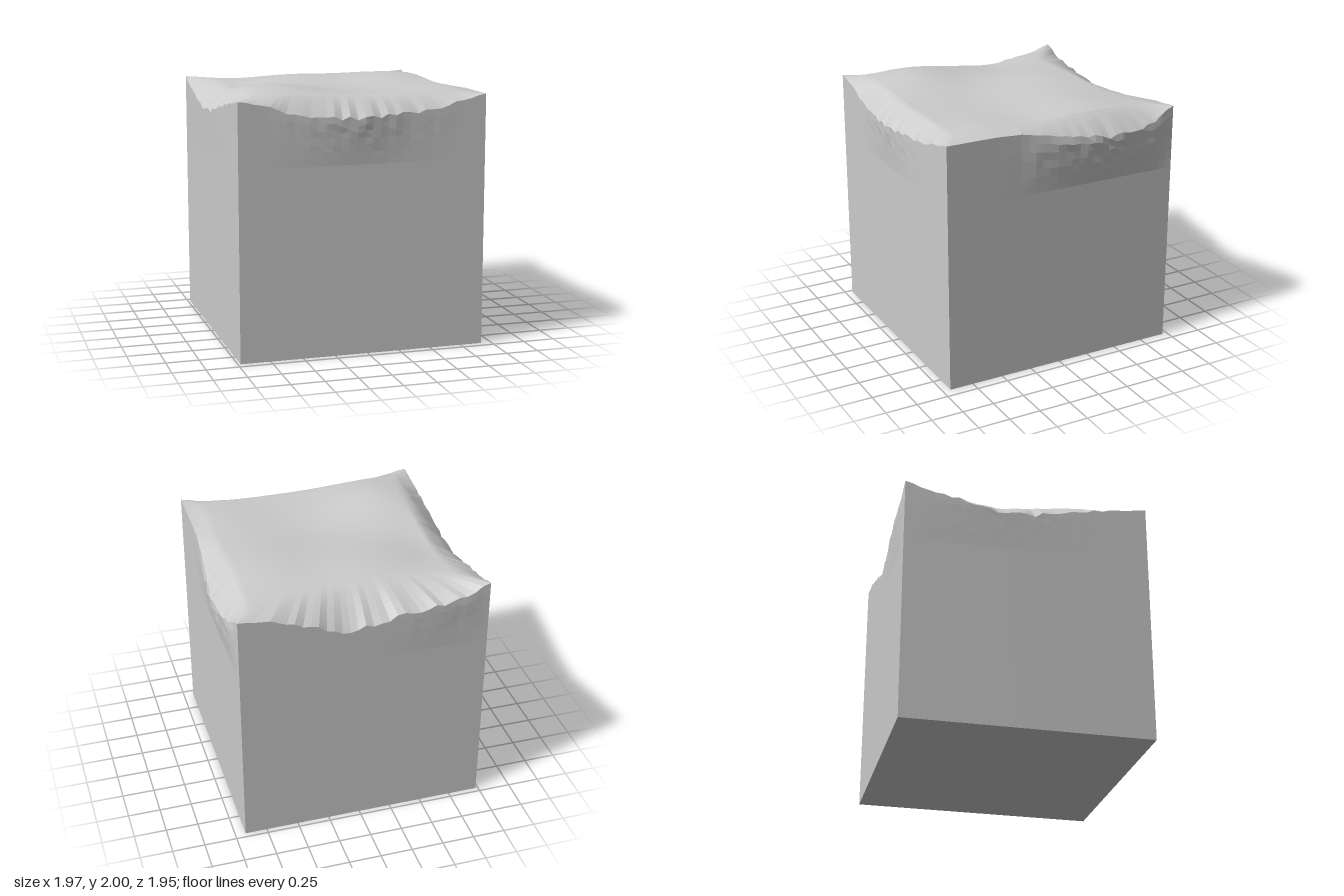
import * as THREE from 'three';

const CX = -0.03, CZ = -0.01, HALF = 0.95, TOP = 1.93, FOOT = 1.44;
const SEG = 32, TOP_RINGS = 30, WALL_RINGS = 7;

// Each side, counter-clockwise from the front: lip drop and overhang at even steps, and lip width
const sides = [
  { n: [0, 1], drop: [0, 0.03, 0.09, 0.12, 0.14, 0.15, 0.13, 0.12, 0.1, 0.05, 0], bulge: [0, 0, 0.006, 0.016, 0.028, 0.034, 0.022, 0.008, 0.003, 0, 0], width: 0.14 },
  { n: [1, 0], drop: [0, 0, 0, 0.01, 0.04, 0.08, 0.11, 0.13, 0.13, 0.09, 0], bulge: [0, 0, 0, 0.003, 0.02, 0.036, 0.054, 0.066, 0.054, 0.035, 0], width: 0.13 },
  { n: [0, -1], drop: [0, 0.02, 0.07, 0.15, 0.22, 0.2, 0.17, 0.14, 0.12, 0.08, 0], bulge: [0, 0, 0, 0, 0, 0, 0.004, 0.01, 0.015, 0.01, 0], width: 0.3 },
  { n: [-1, 0], drop: [0, 0.06, 0.1, 0.15, 0.18, 0.18, 0.14, 0.1, 0.06, 0.03, 0], bulge: [0, 0.004, 0.008, 0.01, 0.01, 0.008, 0.006, 0.004, 0, 0, 0], width: 0.22 },
];

function sample(list, t) {
  const f = t * (list.length - 1), i = Math.min(Math.floor(f), list.length - 2), k = f - i;
  return THREE.MathUtils.lerp(list[i], list[i + 1], k * k * (3 - 2 * k));
}

function hash(a, b) {
  const v = Math.sin(a * 127.1 + b * 311.7) * 43758.5453;
  return (v - Math.floor(v)) * 2 - 1;
}

// Gentle hills and hollows of the top, fading to the level rim
function hills(x, z, s) {
  const hump = (px, pz, r, h) => h * Math.exp(-((x - px) ** 2 + (z - pz) ** 2) / (r * r));
  const fade = Math.min(1, (1 - s) / 0.14);
  return fade * (hump(-0.6, 0.48, 0.36, 0.066) + hump(0.55, -0.3, 0.42, 0.05)
    + hump(0.7, 0.55, 0.3, 0.025) + hump(-0.15, -0.45, 0.35, 0.03)
    - hump(-0.75, -0.3, 0.25, 0.03) - hump(0.1, 0.25, 0.3, 0.012));
}

// Overhang is strongest at y = 1.79 and dies out below and above
function overhang(y) {
  return y < 1.79 ? Math.max(0, (y - FOOT) / (1.79 - FOOT)) : 1 - 0.7 * (y - 1.79) / (TOP - 1.79);
}

function createBlockGeometry() {
  const pos = [], index = [], around = SEG * 4;
  const rings = TOP_RINGS + WALL_RINGS + 3;
  for (let r = 0; r < rings; r++) {
    for (let i = 0; i < around; i++) {
      const { n, drop, bulge, width } = sides[Math.floor(i / SEG)];
      const t = (i % SEG) / SEG, side = t * 2 - 1;
      const px = n[0] + n[1] * side, pz = n[1] - n[0] * side;
      const d = sample(drop, t) * (1 + 0.12 * hash(i, 1)), b = sample(bulge, t);
      const edgeY = TOP - d;
      let s = 1, y, out;
      if (r <= TOP_RINGS) {
        // top surface, rings crowded towards the lip
        s = Math.pow(r / TOP_RINGS, 0.75);
        const lip = Math.max(0, 1 - (1 - s) * HALF / width);
        y = TOP + hills(CX + px * s * HALF, CZ + pz * s * HALF, s) - d * Math.pow(lip, 1.5);
        out = b * overhang(edgeY) * lip;
      } else if (r <= TOP_RINGS + WALL_RINGS) {
        // rough upper wall
        const k = (r - TOP_RINGS) / WALL_RINGS;
        y = THREE.MathUtils.lerp(edgeY, FOOT, k);
        out = b * overhang(y) * (1 + 0.15 * hash(i, r));
      } else {
        // plain lower wall, then the underside closing to its centre
        y = 0;
        out = 0;
        s = r === rings - 1 ? 0 : 1;
      }
      pos.push(CX + px * s * HALF + n[0] * out, y, CZ + pz * s * HALF + n[1] * out);
    }
  }
  for (let r = 0; r < rings - 1; r++) {
    for (let i = 0; i < around; i++) {
      const j = (i + 1) % around;
      const a = r * around + i, b = r * around + j, c = a + around, d = b + around;
      if (r < rings - 2) index.push(a, c, d);
      else index.push(a, c, b);
      if (r > 0 && r < rings - 2) index.push(a, d, b);
    }
  }
  const g = new THREE.BufferGeometry();
  g.setAttribute('position', new THREE.Float32BufferAttribute(pos, 3));
  g.setIndex(index);
  g.computeVertexNormals();
  const flat = g.toNonIndexed();
  flat.computeVertexNormals();
  return flat;
}

export function createModel() {
  const group = new THREE.Group();
  group.name = 'terrainBlock';
  const block = new THREE.Mesh(createBlockGeometry(),
    new THREE.MeshStandardMaterial({ color: 0xcccccc, flatShading: true }));
  block.name = 'groundBlock';
  group.add(block);
  return group;
}
